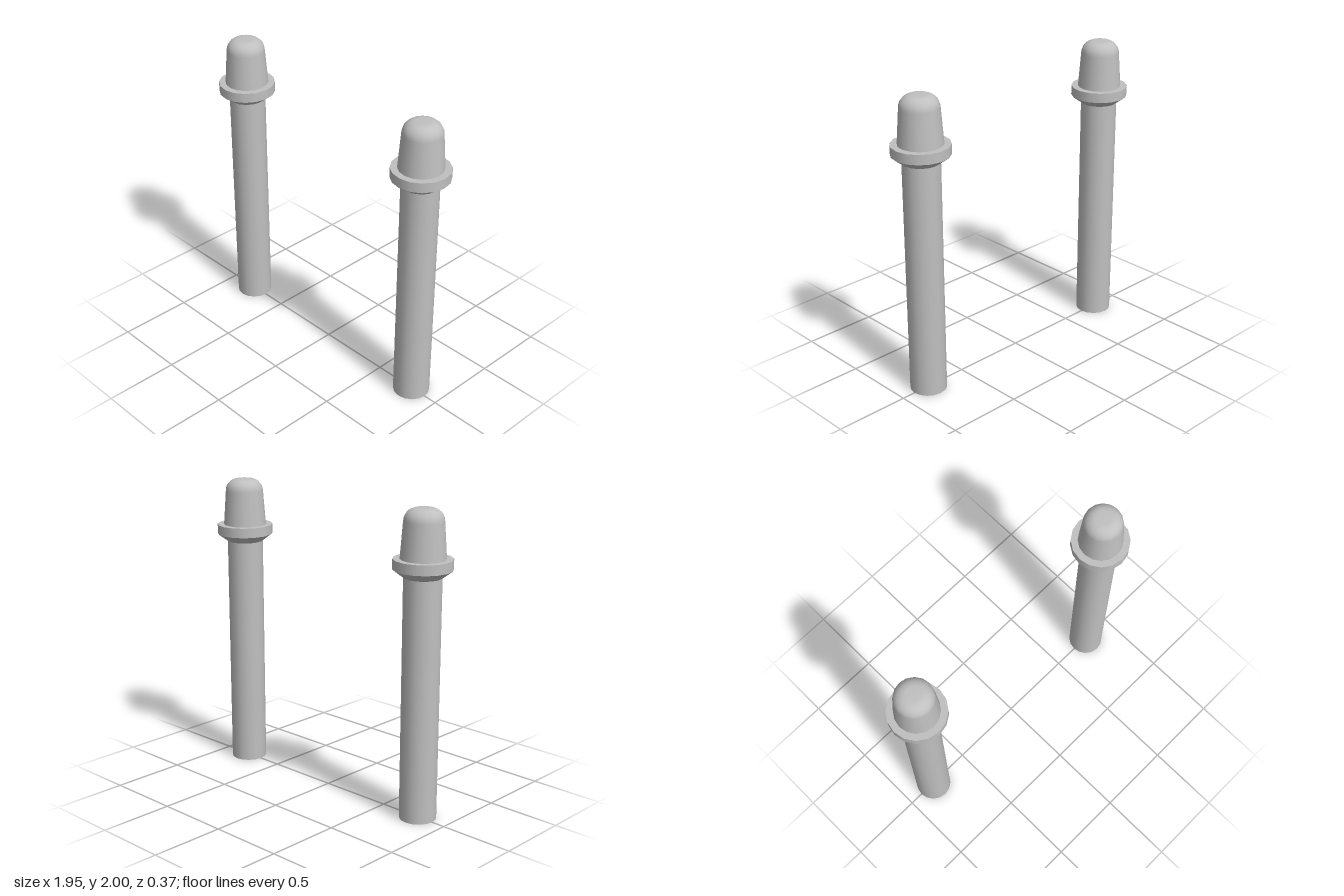
import * as THREE from 'three';

const SIDES = 16;

// Smooth surface of revolution from [radius, height] pairs, bottom to top
function turned(name, profile, material) {
  const points = profile.map(([r, y]) => new THREE.Vector2(r, y));
  const mesh = new THREE.Mesh(new THREE.LatheGeometry(points, SIDES), material);
  mesh.name = name;
  return mesh;
}

function createPost(name, x, material) {
  const post = new THREE.Group();
  post.name = name;
  post.position.x = x;

  // Open-ended pipe
  post.add(turned('shaft', [[0.12, 0], [0.12, 1.575]], material));

  // Collar: separate bands keep its edges sharp
  post.add(turned('collarUnderside', [[0.12, 1.575], [0.187, 1.625]], material));
  post.add(turned('collarRim', [[0.187, 1.625], [0.187, 1.69]], material));
  post.add(turned('collarTop', [[0.187, 1.69], [0.135, 1.69]], material));

  // Tapered cap with a rounded top
  const cap = [[0.143, 1.69], [0.126, 1.92]];
  for (let i = 1; i <= 6; i++) {
    const a = (i / 6) * Math.PI / 2;
    cap.push([0.045 + 0.081 * Math.cos(a), 1.92 + 0.08 * Math.sin(a)]);
  }
  cap.push([0, 2]);
  post.add(turned('cap', cap, material));
  return post;
}

export function createModel() {
  const grey = new THREE.MeshStandardMaterial({ color: 0xc0c0c0, side: THREE.DoubleSide });
  grey.name = 'grey';

  const model = new THREE.Group();
  model.name = 'postPair';
  model.add(createPost('leftPost', 0.787, grey));
  model.add(createPost('rightPost', -0.787, grey));
  return model;
}
